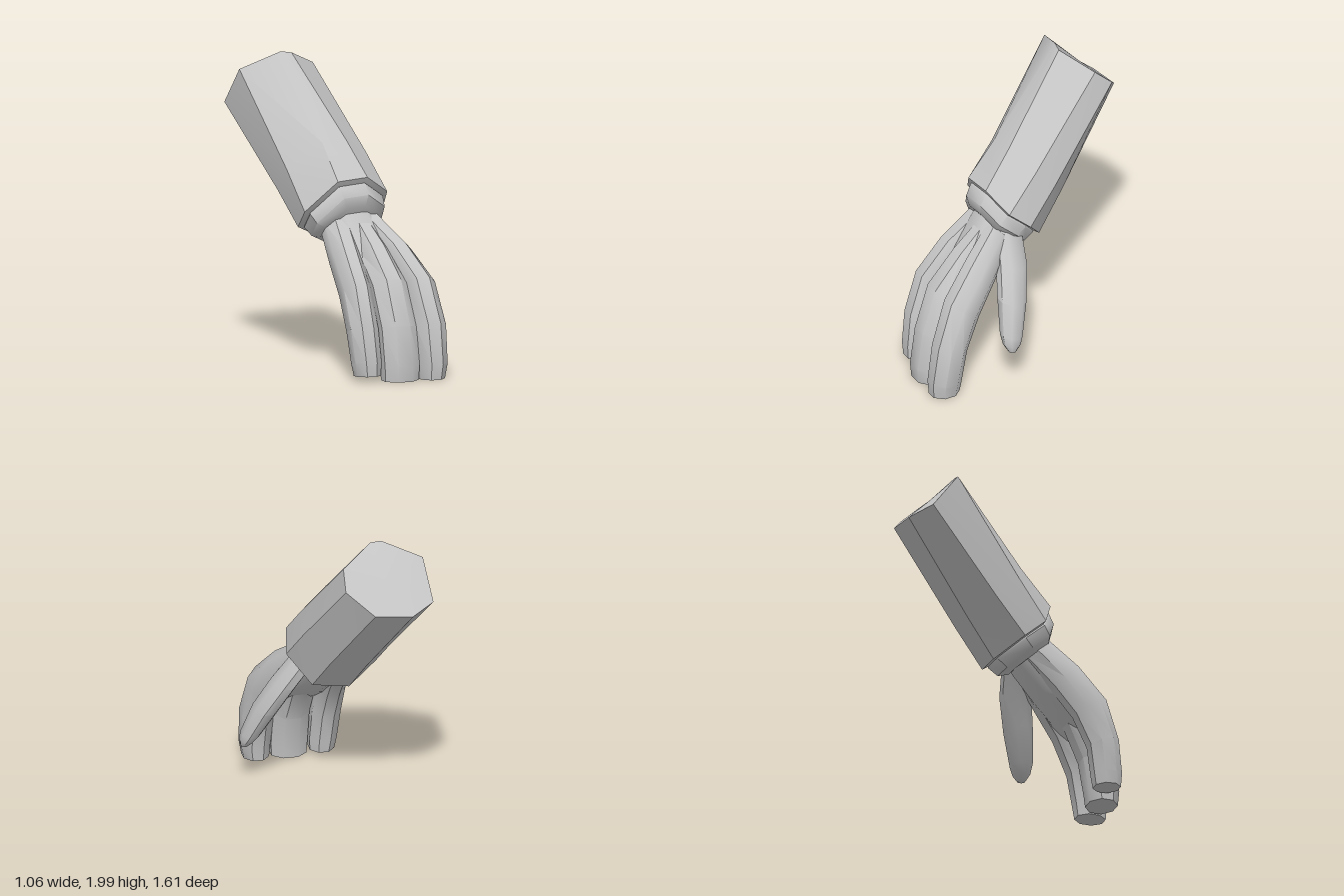
import * as THREE from 'three';
import { toCreasedNormals } from 'three/addons/utils/BufferGeometryUtils.js';

const V = (p) => new THREE.Vector3(...p);

// Closed skin over a list of rings (equal point counts), capped at both ends
function loft(rings, crease) {
  const n = rings[0].length, pos = [], index = [];
  rings.forEach((r) => r.forEach((p) => pos.push(p.x, p.y, p.z)));
  for (let i = 0; i < rings.length - 1; i++) {
    for (let j = 0; j < n; j++) {
      const a = i * n + j, b = i * n + (j + 1) % n;
      index.push(a, b, b + n, a, b + n, a + n);
    }
  }
  [0, rings.length - 1].forEach((k) => {
    const c = centre(rings[k]), id = pos.length / 3;
    pos.push(c.x, c.y, c.z);
    for (let j = 0; j < n; j++) {
      const a = k * n + j, b = k * n + (j + 1) % n;
      if (k === 0) index.push(id, b, a); else index.push(id, a, b);
    }
  });
  // Turn the faces outward when the enclosed volume is negative
  const at = (i) => new THREE.Vector3().fromArray(pos, i * 3);
  let volume = 0;
  for (let i = 0; i < index.length; i += 3) {
    volume += at(index[i]).dot(at(index[i + 1]).cross(at(index[i + 2])));
  }
  if (volume < 0) index.reverse();
  const g = new THREE.BufferGeometry();
  g.setAttribute('position', new THREE.Float32BufferAttribute(pos, 3));
  g.setIndex(index);
  return toCreasedNormals(g, crease);
}

function centre(ring) {
  return ring.reduce((s, p) => s.add(p), new THREE.Vector3()).divideScalar(ring.length);
}

// Scaled copy of a ring, moved by an offset
function shrink(ring, s, offset) {
  const c = centre(ring), o = V(offset);
  return ring.map((p) => p.clone().sub(c).multiplyScalar(s).add(c).add(o));
}

// Rings along stations [x, y, z, halfWidth, halfDepth], width kept along x
function limbRings(stations, sides = 8) {
  const pts = stations.map((s) => V(s.slice(0, 3)));
  const k = 1 / Math.cos(Math.PI / sides);
  return stations.map((s, i) => {
    const t = pts[Math.min(i + 1, pts.length - 1)].clone().sub(pts[Math.max(i - 1, 0)]);
    const depth = new THREE.Vector3(1, 0, 0).cross(t).normalize();
    return Array.from({ length: sides }, (_, j) => {
      const a = (j + 0.5) * 2 * Math.PI / sides;
      return pts[i].clone()
        .add(new THREE.Vector3(Math.cos(a) * s[3] * k, 0, 0))
        .addScaledVector(depth, Math.sin(a) * s[4] * k);
    });
  });
}

export function createModel() {
  const group = new THREE.Group();
  const grey = new THREE.MeshStandardMaterial({ color: 0xc4c4c4 });
  grey.name = 'lightGrey';
  const add = (name, rings, crease = 0.75) => {
    const m = new THREE.Mesh(loft(rings, crease), grey);
    m.name = name;
    group.add(m);
  };

  // Eight-sided sleeve, slanting up and back
  const top = [
    [-0.17, 1.99, -0.43], [0.04, 1.89, -0.58], [0.05, 1.78, -0.70], [-0.12, 1.64, -0.81],
    [-0.37, 1.61, -0.80], [-0.53, 1.65, -0.69], [-0.50, 1.89, -0.51], [-0.24, 2.0, -0.44],
  ].map(V);
  const rim = [
    [0.08, 1.265, 0.25], [0.25, 1.15, 0.17], [0.28, 1.03, 0.03], [0.14, 0.86, -0.11],
    [-0.10, 0.83, -0.12], [-0.31, 0.93, 0.02], [-0.32, 1.05, 0.16], [-0.13, 1.25, 0.26],
  ].map(V);
  const middle = top.map((p, i) => p.clone().lerp(rim[i], 0.7).add(V([0.01, 0, 0])));
  add('sleeve', [top, middle, rim, shrink(rim, 0.8, [0, -0.01, 0.01])], 0.5);

  // Cuff band, tapering into the wrist
  add('cuff', [
    shrink(rim, 0.8, [0, 0.02, -0.02]),
    shrink(rim, 0.88, [0, -0.015, 0.012]),
    shrink(rim, 0.82, [0.01, -0.07, 0.065]),
    shrink(rim, 0.62, [0.01, -0.10, 0.09]),
  ]);

  // Palm, sinking into the backs of the fingers
  add('palm', limbRings([
    [0.00, 1.00, 0.11, 0.18, 0.13],
    [0.01, 0.91, 0.18, 0.19, 0.13],
    [0.05, 0.76, 0.32, 0.22, 0.11],
    [0.085, 0.62, 0.45, 0.25, 0.08],
    [0.11, 0.50, 0.55, 0.24, 0.04],
  ]), 1.2);

  // Three long fingers, each with a flat tip
  const fingers = {
    outerFinger: [
      [-0.10, 0.95, 0.15, 0.095, 0.10], [-0.12, 0.76, 0.36, 0.095, 0.115],
      [-0.12, 0.57, 0.53, 0.095, 0.12], [-0.11, 0.34, 0.625, 0.095, 0.10],
      [-0.095, 0.13, 0.655, 0.09, 0.095], [-0.09, 0.045, 0.66, 0.08, 0.085],
    ],
    middleFinger: [
      [0.03, 0.95, 0.16, 0.08, 0.10], [0.065, 0.77, 0.37, 0.105, 0.12],
      [0.095, 0.59, 0.555, 0.12, 0.125], [0.115, 0.34, 0.66, 0.12, 0.11],
      [0.12, 0.10, 0.70, 0.12, 0.105], [0.12, 0.01, 0.70, 0.115, 0.095],
    ],
    innerFinger: [
      [0.11, 0.95, 0.16, 0.09, 0.10], [0.22, 0.77, 0.37, 0.10, 0.12],
      [0.30, 0.59, 0.55, 0.108, 0.125], [0.335, 0.34, 0.66, 0.105, 0.11],
      [0.34, 0.10, 0.70, 0.095, 0.105], [0.335, 0.01, 0.70, 0.083, 0.095],
    ],
  };
  for (const [name, path] of Object.entries(fingers)) add(name, limbRings(path));

  // Thumb, rounded toward the tip
  add('thumb', limbRings([
    [0.12, 0.98, 0.12, 0.08, 0.09], [0.26, 0.78, 0.16, 0.08, 0.10],
    [0.37, 0.58, 0.22, 0.08, 0.092], [0.46, 0.38, 0.275, 0.06, 0.072],
    [0.485, 0.325, 0.285, 0.045, 0.055], [0.50, 0.285, 0.29, 0.022, 0.025],
  ]), 0.9);

  return group;
}
